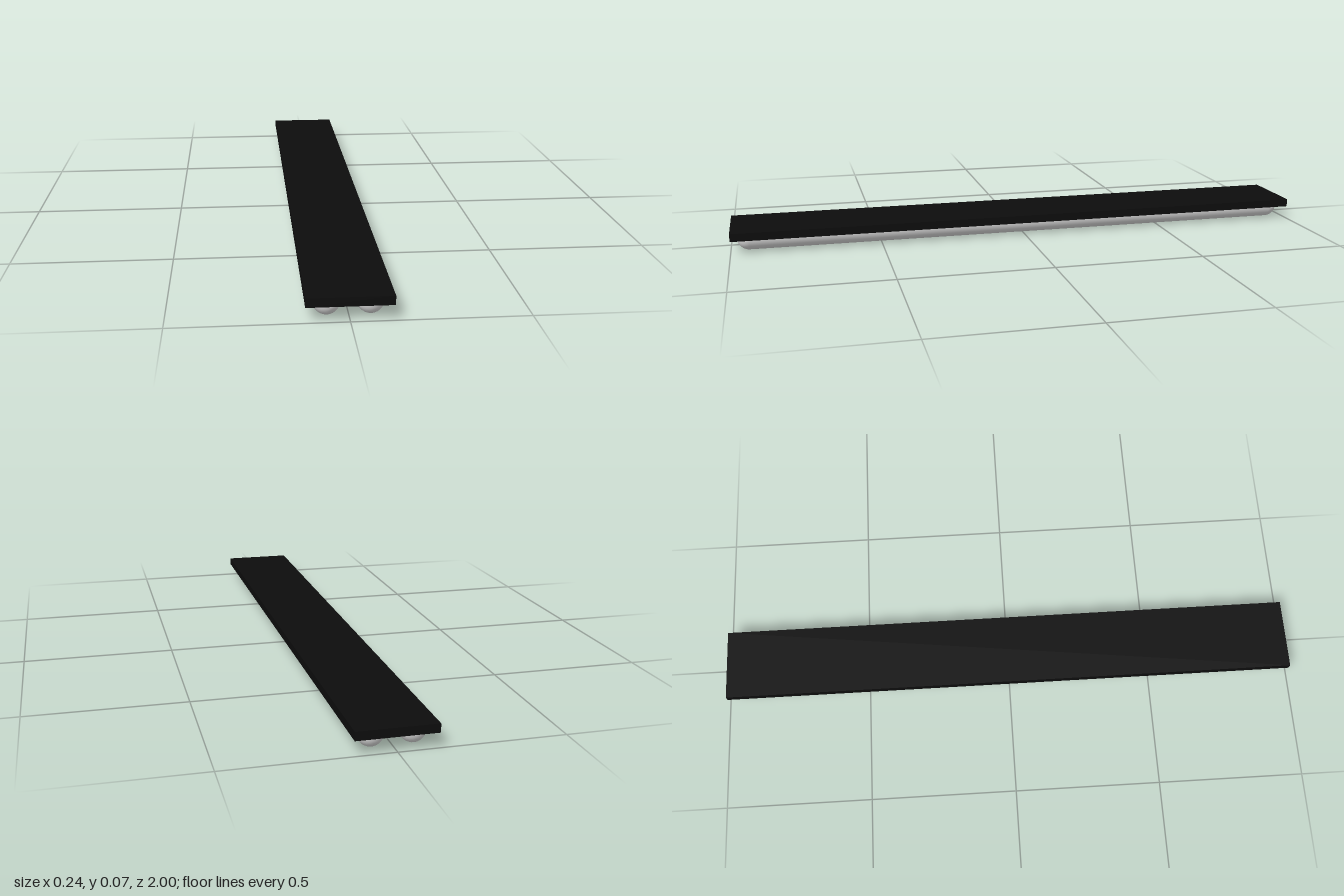
import * as THREE from 'three';

export function createModel() {
  const model = new THREE.Group();
  const black = new THREE.MeshStandardMaterial({ color: 0x0d0d0d });
  black.name = 'black housing';
  const white = new THREE.MeshStandardMaterial({ color: 0xdddddd });
  white.name = 'pale tube';

  // Flat mounting plate
  const bottom = 0.045, top = 0.072;
  const plate = new THREE.Mesh(new THREE.BoxGeometry(0.244, top - bottom, 2), black);
  plate.name = 'mountingPlate';
  plate.position.y = (bottom + top) / 2;
  model.add(plate);

  // Half-capsule tubes hanging under the plate: a round-ended profile swept half a turn
  const r = 0.041, half = 0.98, steps = 8;
  const profile = [];
  for (const end of [-1, 1]) {
    for (let i = 0; i <= steps; i++) {
      const a = (end < 0 ? steps - i : i) / steps * Math.PI / 2;
      profile.push(new THREE.Vector2(Math.max(0, r * Math.cos(a)), end * (half - r + r * Math.sin(a))));
    }
  }
  const tubeGeometry = new THREE.LatheGeometry(profile, 20, Math.PI / 2, Math.PI);
  tubeGeometry.rotateX(-Math.PI / 2);
  tubeGeometry.scale(1, bottom / r, 1);

  for (const side of [-1, 1]) {
    const tube = new THREE.Mesh(tubeGeometry, white);
    tube.name = side > 0 ? 'leftTube' : 'rightTube';
    tube.position.set(side * 0.061, bottom, 0);
    model.add(tube);
  }
  return model;
}
